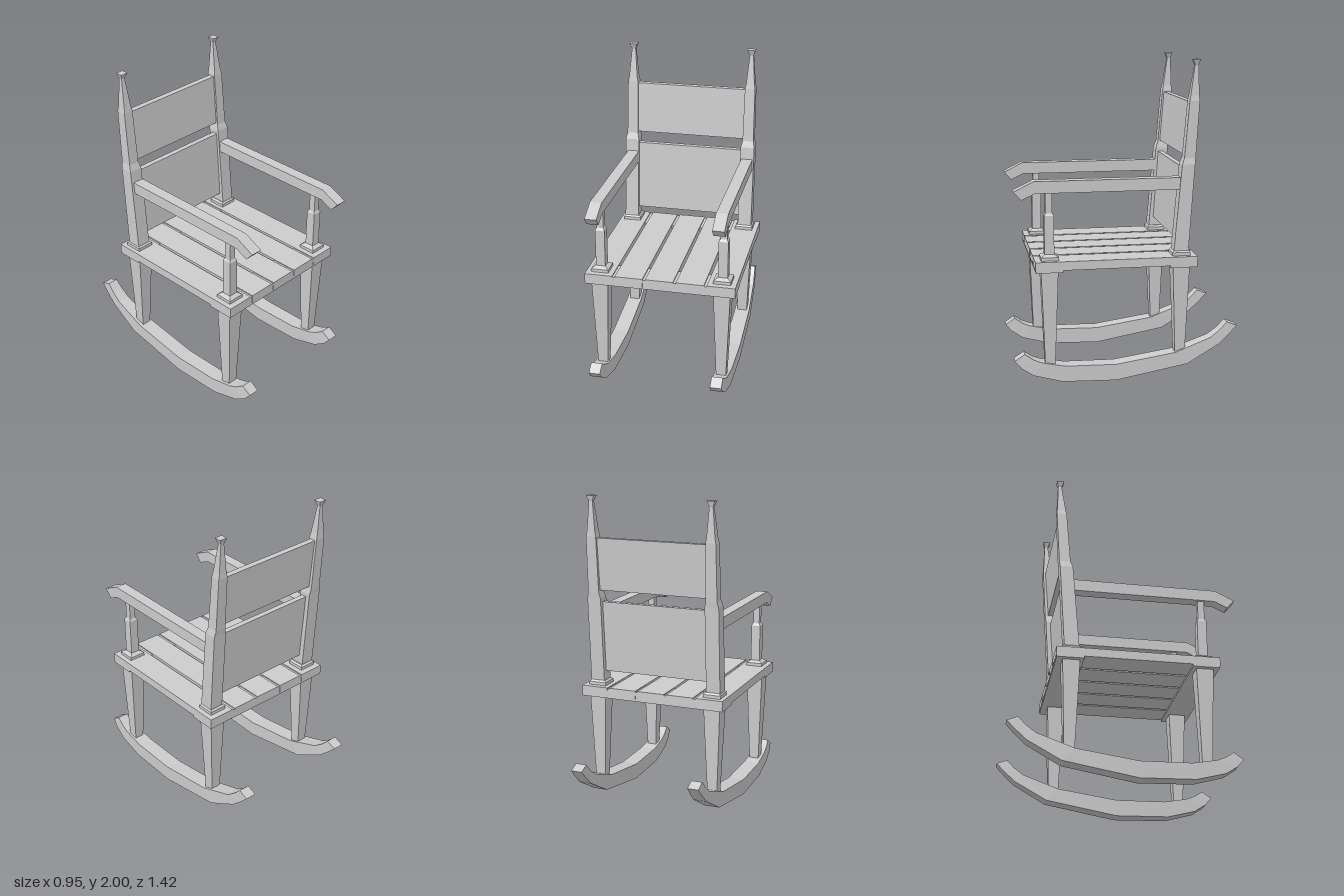
import * as THREE from 'three';

const mat = new THREE.MeshStandardMaterial({ color: 0xcccccc, flatShading: true });

// Lofts a four-sided bar through sections [zA, yA, zB, yB, halfWidth],
// where A is the front (or top) edge and B the back (or bottom) edge.
function loft(sections) {
  const rings = sections.map(([za, ya, zb, yb, w]) => [[-w, ya, za], [w, ya, za], [w, yb, zb], [-w, yb, zb]]);
  const pos = [];
  const quad = (a, b, c, d) => pos.push(...a, ...b, ...c, ...a, ...c, ...d);
  for (let i = 0; i < rings.length - 1; i++) {
    for (let j = 0; j < 4; j++) {
      const k = (j + 1) % 4;
      quad(rings[i][j], rings[i][k], rings[i + 1][k], rings[i + 1][j]);
    }
  }
  const first = rings[0], last = rings[rings.length - 1];
  quad(first[3], first[2], first[1], first[0]);
  quad(last[0], last[1], last[2], last[3]);
  const g = new THREE.BufferGeometry();
  g.setAttribute('position', new THREE.Float32BufferAttribute(pos, 3));
  g.computeVertexNormals();
  return g;
}

// Upright bar from [y, zFront, zBack, halfWidth] rows
const upright = rows => loft(rows.map(([y, zf, zb, w]) => [zf, y, zb, y, w]));
// Upright square bar around a fixed z from [y, halfSize] rows
const square = (z, rows) => upright(rows.map(([y, h]) => [y, z + h, z - h, h]));

export function createModel() {
  const model = new THREE.Group();
  const add = (name, geometry, x = 0) => {
    const m = new THREE.Mesh(geometry, mat);
    m.name = name;
    m.position.x = x;
    model.add(m);
  };
  const box = (name, x0, x1, y0, y1, z0, z1) => {
    const g = new THREE.BoxGeometry(x1 - x0, y1 - y0, z1 - z0);
    g.translate(0, (y0 + y1) / 2, (z0 + z1) / 2);
    add(name, g, (x0 + x1) / 2);
  };
  const pair = (name, geometry, x, shift = 0) => {
    add(name + 'Left', geometry, x + shift);
    add(name + 'Right', geometry, -x + shift);
  };

  // Seat: five planks on two cross rails
  for (let i = -2; i <= 2; i++) {
    const x = i * 0.1935;
    box('seatPlank', x - 0.088, x + 0.088, 0.735, 0.79, -0.43, 0.58);
  }
  box('frontRail', -0.475, 0.475, 0.722, 0.783, 0.41, 0.578);
  box('backRail', -0.475, 0.475, 0.722, 0.783, -0.428, -0.26);

  // Rockers, from front tip to back tip
  pair('rocker', loft([
    [0.65, 0.196, 0.712, 0.155, 0.036],
    [0.597, 0.16, 0.67, 0.106, 0.041],
    [0.544, 0.138, 0.597, 0.058, 0.045],
    [0.395, 0.11, 0.416, 0.01, 0.05],
    [0.077, 0.104, 0.077, 0, 0.052],
    [-0.305, 0.16, -0.38, 0.08, 0.05],
    [-0.533, 0.244, -0.586, 0.196, 0.043],
    [-0.59, 0.287, -0.66, 0.265, 0.039],
    [-0.64, 0.34, -0.706, 0.313, 0.036],
  ]), 0.39, -0.004);

  // Tapered legs
  pair('frontLeg', square(0.49, [[0.08, 0.03], [0.74, 0.054]]), 0.388, -0.002);
  pair('backLeg', square(-0.335, [[0.11, 0.03], [0.74, 0.054]]), 0.388, -0.002);

  // Stepped arm posts with a flared foot
  pair('armPost', square(0.488, [
    [0.78, 0.055], [0.81, 0.055], [0.825, 0.03],
    [1.065, 0.03], [1.08, 0.021], [1.22, 0.021],
  ]), 0.387);

  // Armrests with drooping front ends
  pair('armrest', loft([
    [0.703, 1.22, 0.655, 1.167, 0.037],
    [0.58, 1.28, 0.575, 1.205, 0.037],
    [-0.36, 1.28, -0.36, 1.205, 0.037],
  ]), 0.387);

  // Leaning back posts with flared finials
  pair('backPostFoot', square(-0.335, [[0.78, 0.057], [0.81, 0.057], [0.822, 0.046]]), 0.388, -0.003);
  pair('backPost', upright([
    [0.79, -0.285, -0.378, 0.045],
    [1.36, -0.335, -0.416, 0.045],
    [1.4, -0.35, -0.421, 0.036],
    [1.75, -0.38, -0.443, 0.033],
    [1.78, -0.386, -0.441, 0.027],
    [1.965, -0.415, -0.437, 0.012],
    [2, -0.4, -0.447, 0.026],
  ]), 0.392, -0.004);

  // Back panels follow the lean of the posts
  add('lowerBackPanel', upright([[0.88, -0.318, -0.35, 0.37], [1.335, -0.35, -0.385, 0.37]]), -0.004);
  add('upperBackPanel', upright([[1.41, -0.363, -0.4, 0.375], [1.74, -0.39, -0.428, 0.375]]), -0.004);

  return model;
}
